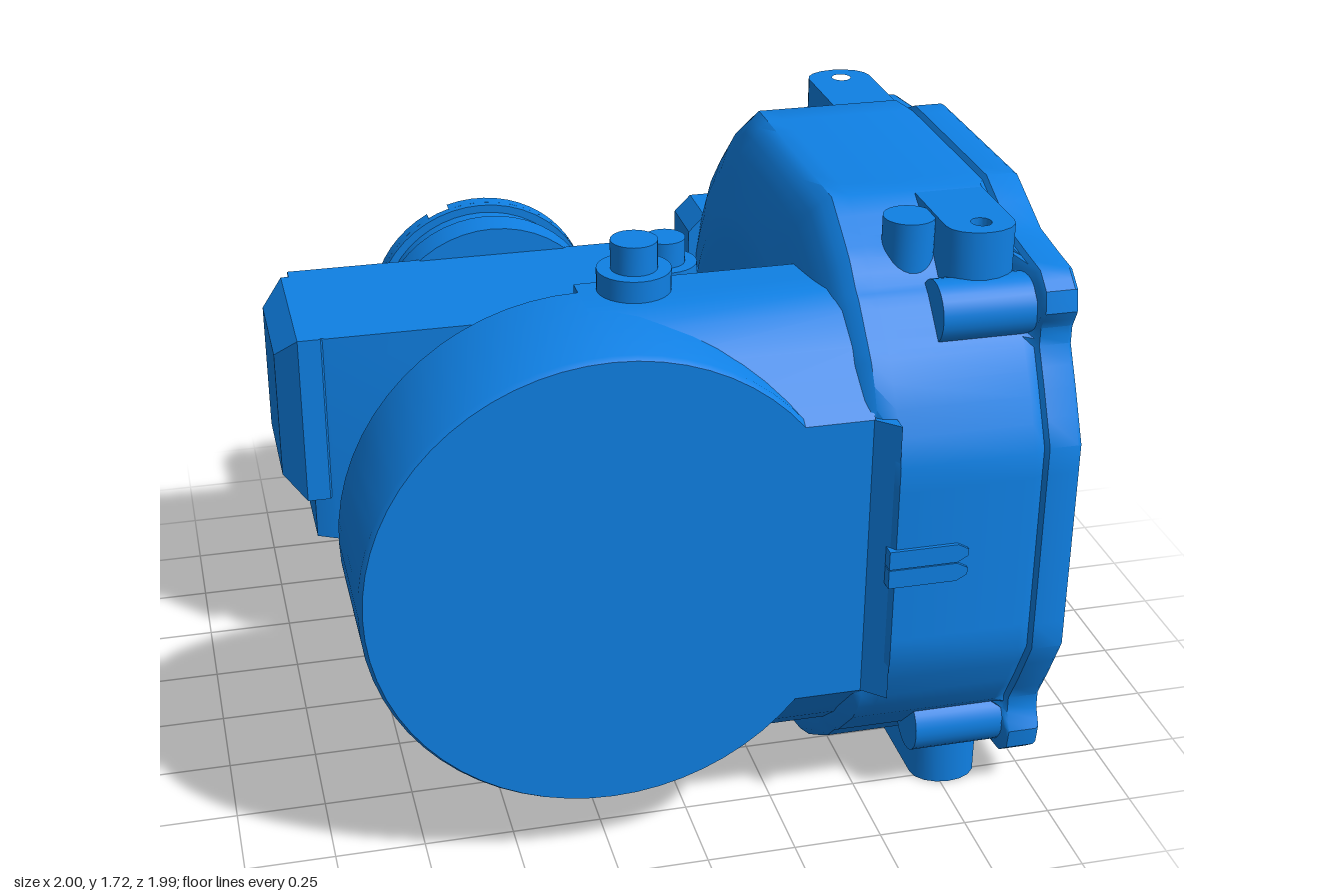
import * as THREE from 'three';
import { toCreasedNormals, mergeVertices } from 'three/addons/utils/BufferGeometryUtils.js';

const CY = 0.862, CZ = 0.13, DX = -0.25, HOLE = 0.337;

export function createModel() {
  const root = new THREE.Group();
  const mat = new THREE.MeshStandardMaterial({ color: 0x0f80e4 });
  const thin = mat.clone();
  thin.side = THREE.DoubleSide;

  const add = (name, geo, material = mat) => {
    const mesh = new THREE.Mesh(toCreasedNormals(geo, 0.6), material);
    mesh.name = name;
    root.add(mesh);
    return mesh;
  };

  // Extrude a shape along an axis; points are (z,y) for x, (x,z) for y, (x,y) for z
  const prism = (name, pts, axis, from, to, bevel = 0, holes = []) => {
    const map = ([a, b]) => new THREE.Vector2(axis === 'x' ? -a : a, axis === 'y' ? -b : b);
    const shape = new THREE.Shape(pts.map(map));
    for (const [a, b, r] of holes) {
      const c = map([a, b]);
      shape.holes.push(new THREE.Path().absarc(c.x, c.y, r, 0, Math.PI * 2, true));
    }
    const geo = new THREE.ExtrudeGeometry(shape, {
      depth: to - from - 2 * bevel, bevelEnabled: bevel > 0, bevelThickness: bevel,
      bevelSize: bevel, bevelOffset: -bevel, bevelSegments: 1, curveSegments: 16,
    });
    geo.translate(0, 0, from + bevel);
    if (axis === 'x') geo.rotateY(Math.PI / 2);
    if (axis === 'y') geo.rotateX(-Math.PI / 2);
    return add(name, geo);
  };
  const rect = (a0, a1, b0, b1) => [[a0, b0], [a1, b0], [a1, b1], [a0, b1]];

  // Cylinder between two positions on an axis
  const rod = (name, r, axis, from, to, a, b, sides = 28) => {
    const geo = new THREE.CylinderGeometry(r, r, to - from, sides);
    const m = (from + to) / 2;
    if (axis === 'x') geo.rotateZ(Math.PI / 2).translate(m, b, a);
    if (axis === 'y') geo.translate(a, m, b);
    if (axis === 'z') geo.rotateX(Math.PI / 2).translate(a, b, m);
    return add(name, geo);
  };

  // Mirror a quarter outline and split each edge in two
  const outline = (q) => {
    const half = [...q, ...q.slice(0, -1).reverse().map(([a, b]) => [-a, b])];
    const full = [...half, ...half.slice(1, -1).reverse().map(([a, b]) => [a, -b])];
    return full.flatMap((p, i) => {
      const n = full[(i + 1) % full.length];
      return [p, [(p[0] + n[0]) / 2, (p[1] + n[1]) / 2]];
    });
  };
  const plate = outline([[0.86, 0], [0.86, 0.15], [0.86, 0.31], [0.79, 0.45], [0.735, 0.55],
    [0.735, 0.6], [0.76, 0.65], [0.75, 0.71], [0.7, 0.75], [0.6, 0.76], [0.48, 0.775],
    [0.29, 0.86], [0.15, 0.86], [0, 0.86]]);
  const body = outline([[0.86, 0], [0.86, 0.15], [0.86, 0.3], [0.8, 0.44], [0.73, 0.55],
    [0.69, 0.59], [0.65, 0.63], [0.61, 0.67], [0.58, 0.69], [0.52, 0.75], [0.46, 0.79],
    [0.35, 0.86], [0.17, 0.86], [0, 0.86]]);
  const circle = (r) => plate.map(([a, b]) => {
    const l = Math.hypot(a, b);
    return [a / l * r, b / l * r];
  });
  const scaled = (p, s) => p.map(([a, b]) => [a * s, b * s]);
  // Dome section between a circle and the body, kept behind the front arm face
  const neck = circle(0.665);
  const dome = (t) => neck.map(([a, b], i) => [
    Math.min(0.79, a + (body[i][0] - a) * t), b + (body[i][1] - b) * t]);

  // Bridge with domed inner side, mounting flange, face groove and through bore
  const rings = [
    [0.32, circle(HOLE)], [0.32, circle(0.5)], [0.323, circle(0.57)], [0.33, circle(0.63)],
    [0.34, neck], [0.355, dome(0.3)], [0.375, dome(0.55)], [0.4, dome(0.78)], [0.425, dome(0.92)],
    [0.45, dome(1)], [0.5, body], [0.87, body], [0.9, scaled(plate, 0.985)], [0.91, plate],
    [0.99, plate], [1, scaled(plate, 0.993)], [1, circle(0.775)], [0.992, circle(0.772)],
    [0.992, circle(0.766)], [1, circle(0.763)], [1, circle(HOLE)], [0.32, circle(HOLE)],
  ];
  const pos = [], idx = [], n = plate.length;
  rings.forEach(([x, ring], j) => ring.forEach(([dz, dy], i) => {
    pos.push(x, CY + dy, CZ + dz);
    if (j === rings.length - 1) return;
    const a = j * n + i, b = j * n + (i + 1) % n;
    idx.push(a, a + n, b, b, a + n, b + n);
  }));
  const loft = new THREE.BufferGeometry();
  loft.setAttribute('position', new THREE.Float32BufferAttribute(pos, 3));
  loft.setIndex(idx);
  add('bridgeAndFlange', mergeVertices(loft));

  // Round end of the front arm, with a recess on its inner side
  const profile = [[0, 0.54], [0.47, 0.54], [0.48, 0.46], [0.61, 0.46], [0.665, 0.515],
    [0.665, 0.915], [0.655, 0.93], [0, 0.93]].map(([r, z]) => new THREE.Vector2(r, z));
  add('frontArmDisc', new THREE.LatheGeometry(profile, 64).rotateX(Math.PI / 2).translate(DX, CY + 0.003, 0));

  // Front arm neck, with its inner wall cut away around the recess
  prism('frontArmNeck', [[0.54, 0.2], [0.64, 0.2], [0.72, 0.23], [0.8, 0.3], [0.93, 0.45], [0.93, 1.28],
    [0.8, 1.43], [0.72, 1.5], [0.64, 1.53], [0.54, 1.53]], 'x', DX, 0.445);
  const wall = [[DX, 1.53], [0.42, 1.53], [0.42, 0.2], [DX, 0.2]];
  for (let i = 0; i <= 24; i++) {
    const t = -Math.PI / 2 + Math.PI * i / 24;
    wall.push([DX + 0.48 * Math.cos(t), CY + 0.48 * Math.sin(t)]);
  }
  prism('frontArmInnerWall', wall, 'z', 0.46, 0.6);
  prism('frontArmShoulder', [[0.43, 0.85], [0.43, 0.93], [0.442, 0.93], [0.5, 0.985], [0.5, 0.85]], 'y', 0.45, 1.28);

  // Inner fork fillet, opened where the bore passes
  const fillet = new THREE.PlaneGeometry(0.28, 1.3, 12, 40).translate(0.19, CY, 0);
  const fp = fillet.attributes.position;
  for (let i = 0; i < fp.count; i++) {
    const x = fp.getX(i), dy = Math.abs(fp.getY(i) - CY);
    const arc = 0.19 + Math.sqrt(Math.max(0, 0.073 - (x - 0.05) ** 2));
    const bore = dy < HOLE ? CZ + Math.sqrt(HOLE * HOLE - dy * dy) : 0;
    const edge = Math.max(0, (dy - 0.4) / 0.25);
    fp.setZ(i, Math.max(arc, bore) + (0.6 - arc) * edge * edge);
  }
  add('forkFillet', fillet, thin);

  // Rib and small studs on the inner side of the disc
  prism('innerRib', [[-0.15, 0.98], [-0.05, 0.98], [-0.05, 1.27], [0.02, 1.3], [0.02, 1.38], [-0.03, 1.45],
    [-0.03, 1.52], [-0.17, 1.52], [-0.17, 1.45], [-0.22, 1.38], [-0.22, 1.3], [-0.15, 1.27]], 'z', 0.455, 0.56, 0.01);
  for (const deg of [35, 105, 160, 215, 280, 325])
    rod('innerStud', 0.035, 'z', 0.45, 0.48, DX + 0.54 * Math.cos(deg * Math.PI / 180),
      CY + 0.54 * Math.sin(deg * Math.PI / 180), 16);

  // Back arm
  prism('backArm', [[-0.91, -0.73], [0.9, -0.73], [0.9, -0.21], [-0.85, -0.21], [-0.91, -0.24]], 'y', 0.46, 1.13);
  prism('backArmEndCap', rect(-0.69, -0.21, 0.6, 1.13), 'x', -1, -0.8, 0.066);

  // Round boss with a grooved waist and a notched cover
  const BX = -0.265;
  rod('bossBase', 0.355, 'z', -0.83, -0.72, BX, CY, 48);
  rod('bossWaist', 0.33, 'z', -0.94, -0.82, BX, CY, 48);
  rod('bossCoverBack', 0.355, 'z', -0.955, -0.925, BX, CY, 48);
  const cover = [];
  for (let i = 0; i < 4; i++) {
    const a0 = (22 + 90 * i) * Math.PI / 180;
    const at = (r, t) => cover.push([BX + r * Math.cos(a0 + t), CY + r * Math.sin(a0 + t)]);
    at(0.355, -0.1); at(0.27, -0.12); at(0.255, 0); at(0.27, 0.12);
    for (let k = 0; k <= 12; k++) at(0.355, 0.1 + (Math.PI / 2 - 0.2) * k / 12);
  }
  prism('bossCover', cover, 'z', -0.99, -0.95);

  // Plugs: a collar and a head, pointing up or down
  const plug = (name, x, z, y, dir, collar, head) => {
    const span = (a, b) => [Math.min(a, b), Math.max(a, b)];
    rod(name + 'Collar', 0.1, 'y', ...span(y - dir * 0.12, y + dir * collar), x, z);
    rod(name + 'Head', 0.063, 'y', ...span(y, y + dir * head), x, z);
  };
  plug('frontArmTopPlug', -0.1, 0.52, 1.53, 1, 0.06, 0.14);
  plug('frontArmBottomPlug', -0.43, 0.54, 0.2, -1, 0.06, 0.14);
  plug('backArmTopPlug', 0.23, -0.46, 1.13, 1, 0.04, 0.12);
  plug('backArmBottomPlug', -0.43, -0.46, 0.46, -1, 0.04, 0.1);
  rod('flangePlug', 0.07, 'y', 1.45, 1.71, 0.62, 0.62);

  // Flange ears with bolt holes at the four corners, rounded at their outer end
  for (const side of [-1, 1]) {
    const tip = CZ + side * 0.67, ear = [[0.87, CZ + side * 0.36], [0.68, CZ + side * 0.36]];
    for (let k = 0; k <= 8; k++) {
      const t = Math.PI * (1 - k / 8);
      ear.push([0.775 + 0.095 * Math.cos(t), tip - side * 0.07 * (1 - Math.sin(t))]);
    }
    const hole = [[0.78, CZ + side * 0.595, 0.028]];
    prism('topEar', ear, 'y', 1.5, 1.718, 0, hole);
    prism('bottomEar', ear, 'y', 0.002, 0.22, 0, hole);
    // Bolt bosses behind the flange corners
    for (const sy of [-1, 1]) rod('cornerBoss', 0.085, 'x', 0.64, 0.92, CZ + side * 0.65, CY + sy * 0.64);
  }

  // Back pads and the two bolts on the lower one
  prism('upperBackPad', [[0.33, 1.1], [0.83, 1.1], [0.83, 1.22], [0.78, 1.27], [0.38, 1.27], [0.33, 1.22]], 'z', -0.73, -0.55);
  prism('lowerBackPad', [[0.36, 0.11], [0.82, 0.11], [0.87, 0.2], [0.87, 0.48], [0.33, 0.48], [0.33, 0.16]], 'z', -0.66, -0.4);
  for (const [x, y] of [[0.41, 0.27], [0.53, 0.19]]) {
    rod('padBoltWasher', 0.06, 'z', -0.68, -0.65, x, y);
    rod('padBoltHead', 0.048, 'z', -0.72, -0.67, x, y, 6);
  }

  // Twin ridges on the front of the body
  for (const y of [0.835, 0.892])
    prism('frontRidge', [[0.48, y - 0.027], [0.67, y - 0.027], [0.7, y - 0.01], [0.7, y + 0.01],
      [0.67, y + 0.027], [0.48, y + 0.027]], 'z', 0.95, 1);

  return root;
}
